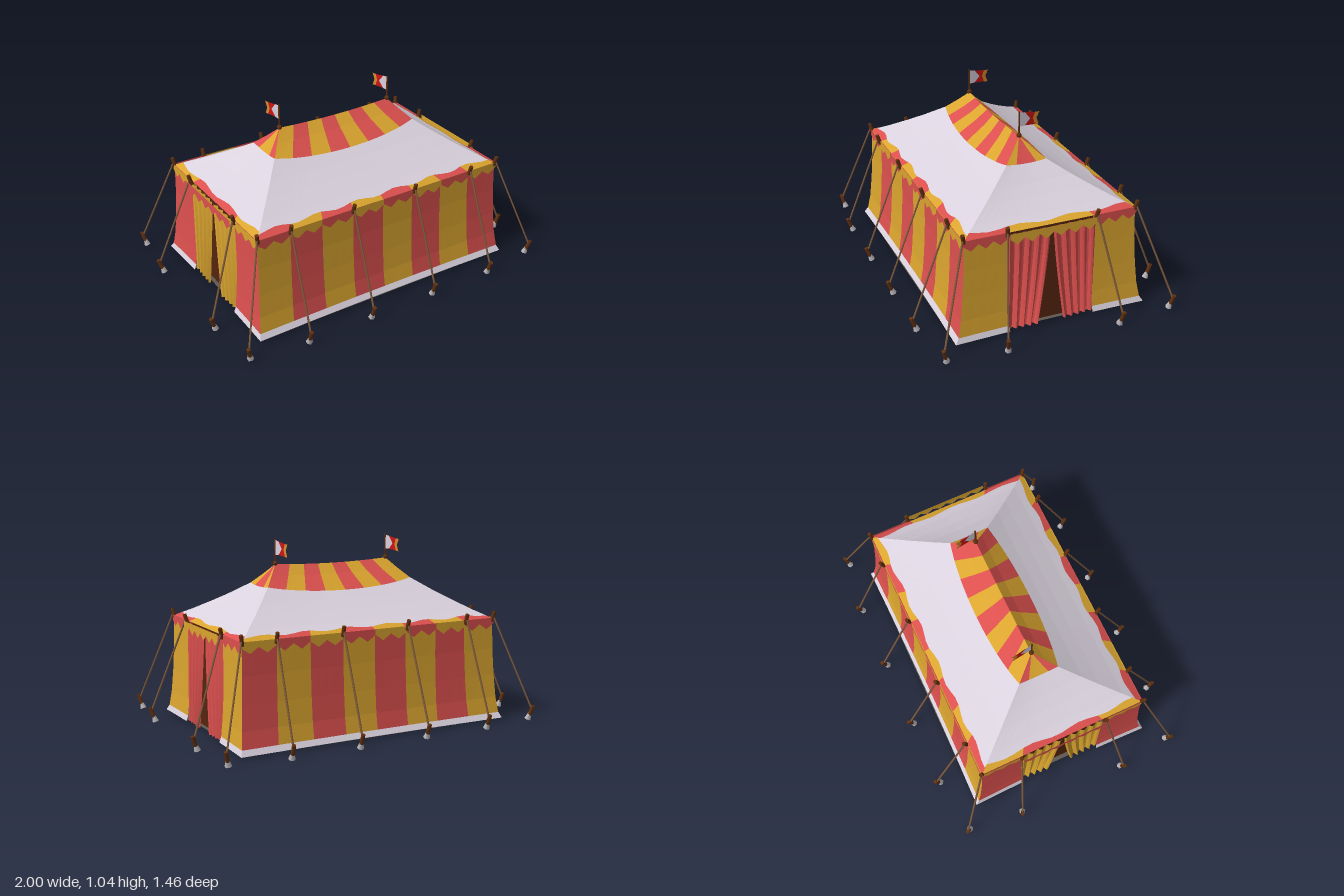
import * as THREE from 'three';

const mat = (name, color) =>
  Object.assign(new THREE.MeshStandardMaterial({ color, side: THREE.DoubleSide }), { name });
const red = mat('red canvas', 0xdc504e);
const yellow = mat('yellow canvas', 0xdba52f);
const white = mat('white canvas', 0xd9d1dd);
const wood = mat('dark wood', 0x61300f);
const ropeTan = mat('rope', 0x7f5a3c);
const metal = mat('peg metal', 0xb9b5ba);
const floorGrey = mat('ground sheet', 0x5f5850);
const dark = mat('doorway shade', 0x55250f);
const flagRed = mat('flag red', 0xcc1414);
const flagOrange = mat('flag orange', 0xd98a2b);
const other = (m) => (m === red ? yellow : red);

const HX = 0.775, HZ = 0.485, EAVE = 0.572, RIDGE = 0.355;

function add(parent, name, geo, material) {
  const mesh = new THREE.Mesh(geo, material);
  mesh.name = name;
  parent.add(mesh);
  return mesh;
}

// Faceted sheet: fn(i, j) gives a point, i runs to the right and j downward
function sheet(cols, rows, fn) {
  const pos = [];
  const tri = (...pts) => pts.forEach(([i, j]) => pos.push(...fn(i, j)));
  for (let i = 0; i < cols; i++) for (let j = 0; j < rows; j++) {
    tri([i, j], [i, j + 1], [i + 1, j]);
    tri([i + 1, j], [i, j + 1], [i + 1, j + 1]);
  }
  const g = new THREE.BufferGeometry();
  g.setAttribute('position', new THREE.Float32BufferAttribute(pos, 3));
  g.computeVertexNormals();
  return g;
}

// Straight rod between two points
function rod(parent, name, a, b, r0, r1, material, sides = 8) {
  const d = b.clone().sub(a);
  const m = add(parent, name, new THREE.CylinderGeometry(r1, r0, d.length(), sides), material);
  m.position.copy(a).lerp(b, 0.5);
  m.quaternion.setFromUnitVectors(new THREE.Vector3(0, 1, 0), d.normalize());
}

// Piecewise linear lookup
function lookup(table, t) {
  for (let k = 1; k < table.length; k++) {
    const [t0, v0] = table[k - 1], [t1, v1] = table[k];
    if (t <= t1) return v0 + (v1 - v0) * (t - t0) / (t1 - t0);
  }
  return table[table.length - 1][1];
}
const roofY = [[0, 0.895], [0.055, 0.84], [0.11, 0.788], [0.16, 0.756], [0.22, 0.717],
  [0.3, 0.67], [0.4, 0.615], [0.455, 0.588], [HZ, EAVE]];
const flare = [[0, 0.065], [0.03, 0.045], [0.12, 0.028], [0.25, 0.015], [0.4, 0.005], [EAVE, 0]];

// One side of the tent facing +z, with its panel colours from left to right
function buildSide(name, colours, isEnd) {
  const side = new THREE.Group();
  side.name = name;
  const n = colours.length, cols = 4;
  const half = isEnd ? HZ : HX, depth = isEnd ? HX : HZ;
  const roofX = (s) => RIDGE + (HX - RIDGE) * s / HZ;

  // s is the distance from the ridge line
  const roofPoint = (u, s) => {
    const k = s / HZ;
    const sag = 0.012 * (1 - u * u) * (isEnd ? Math.sin(Math.PI * k) : 1 - k);
    return [u * (isEnd ? s : roofX(s)), lookup(roofY, s) - sag, isEnd ? roofX(s) : s];
  };
  const wallPoint = (u, y) => {
    const o = lookup(flare, y);
    const spread = Math.sign(u) * Math.max(0, Math.abs(u) - 0.5) * 2;
    return [u * half + spread * o * (isEnd ? 1 : 0.6), y,
      depth + o * (isEnd ? 0.6 : 1) - 0.01 * (1 - u * u) * (1 - y / EAVE)];
  };
  const capEdge = (u) => 0.115 + (isEnd ? 0.0 : 0.045 * (1 - u * u));
  const bandEdge = (u) => 0.45 + 0.009 * Math.cos(u * Math.PI * n * 0.75 + 0.6);

  colours.forEach((colour, p) => {
    const u = (i) => -1 + 2 * (p + i / cols) / n;
    const roofStrip = (label, rows, material) => add(side, label, sheet(cols, rows(0).length - 1,
      (i, j) => roofPoint(u(i), rows(u(i))[j])), material);
    roofStrip('roofCap', (t) => [0, 0.055, capEdge(t)], colour);
    roofStrip('roofCanvas', (t) => [capEdge(t), 0.22, 0.3, 0.4, bandEdge(t)], white);
    roofStrip('roofEaveBand', (t) => [bandEdge(t), HZ], other(colour));

    // Zigzag valance
    const teeth = isEnd ? 3 : 2, w = (2 * (half + 0.006)) / n, x0 = -half - 0.006 + p * w;
    const shape = new THREE.Shape();
    shape.moveTo(x0, EAVE + 0.004);
    shape.lineTo(x0, 0.545);
    for (let k = 0; k < teeth; k++) {
      shape.lineTo(x0 + w * (k + 0.5) / teeth, 0.512);
      shape.lineTo(x0 + w * (k + 1) / teeth, 0.545);
    }
    shape.lineTo(x0 + w, EAVE + 0.004);
    add(side, 'valance', new THREE.ShapeGeometry(shape), other(colour))
      .position.z = depth + (isEnd ? 0.03 : 0.006) * (isEnd && (p === 0 || p === 3) ? 0.2 : 1);

    // Wall panel with a pale skirt; the two middle end panels are the doorway
    if (isEnd && (p === 1 || p === 2)) return;
    const ys = [EAVE, 0.4, 0.25, 0.12, 0.03];
    add(side, 'wallPanel', sheet(cols, 4, (i, j) => wallPoint(u(i), ys[j])), colour);
    add(side, 'wallSkirt', sheet(cols, 1, (i, j) => wallPoint(u(i), j ? 0 : 0.03)), white);
  });

  if (isEnd) {
    // Dark opening behind two draped curtains
    add(side, 'doorway', new THREE.PlaneGeometry(0.5, 0.56), dark).position.set(0, 0.28, 0.752);
    for (const s of [-1, 1]) {
      const nc = 22, nr = 7;
      add(side, 'doorCurtain', sheet(nc, nr, (i, j) => {
        const h = 1 - j / nr, t = s < 0 ? i / nc : 1 - i / nc;
        const inner = 0.008 + 0.065 * Math.pow(1 - h, 1.3);
        const fold = Math.sin(t * Math.PI * 9) * 0.013 * (0.5 + 0.5 * (1 - h));
        return [s * (0.25 + (inner - 0.25) * t), 0.56 * h, 0.778 + fold + 0.01 * (1 - h) * t];
      }), colours[1]);
    }
  }
  return side;
}

// Eave post, guy rope and ground peg
function buildGuy(x, z, px, pz) {
  const g = new THREE.Group();
  g.name = 'guyLine';
  const out = new THREE.Vector3(px - x, 0, pz - z).normalize();
  const at = (cx, y, cz, d) => new THREE.Vector3(cx, y, cz).addScaledVector(out, d);
  rod(g, 'eavePost', at(x, 0.555, z, 0), at(x, 0.612, z, 0.018), 0.011, 0.011, wood);
  rod(g, 'rope', at(x, 0.585, z, 0.012), at(px, 0.06, pz, -0.008), 0.0055, 0.0055, ropeTan, 6);
  rod(g, 'pegHead', at(px, 0.025, pz, -0.02), at(px, 0.08, pz, 0), 0.011, 0.011, wood);
  rod(g, 'pegFoot', at(px, 0, pz, -0.03), at(px, 0.035, pz, -0.018), 0.019, 0.009, metal, 6);
  return g;
}

// Mast with a swallow-tailed pennant in three bands
function buildFlag(x) {
  const g = new THREE.Group();
  g.name = 'flag';
  rod(g, 'mast', new THREE.Vector3(0, 0.88, 0), new THREE.Vector3(0, 1.032, 0), 0.005, 0.005, wood);
  add(g, 'mastBall', new THREE.SphereGeometry(0.014, 10, 8), wood).position.y = 0.899;
  const band = (name, pts, material) => {
    const m = add(g, name, new THREE.ShapeGeometry(
      new THREE.Shape(pts.map((q) => new THREE.Vector2(...q)))), material);
    m.rotation.y = Math.PI / 2 + 0.12;
  };
  band('flagField', [[0, 0.946], [0.035, 0.948], [0.068, 0.982], [0.035, 1.023], [0, 1.028]], white);
  band('flagBand', [[0.035, 0.948], [0.098, 0.943], [0.085, 0.98], [0.098, 1.013], [0.035, 1.023],
    [0.068, 0.982]], flagRed);
  band('flagTail', [[0.098, 0.943], [0.122, 0.94], [0.108, 0.978], [0.125, 1.012], [0.098, 1.013],
    [0.085, 0.98]], flagOrange);
  g.position.x = x;
  return g;
}

export function createModel() {
  const tent = new THREE.Group();
  tent.name = 'tent';

  const stripes = Array.from({ length: 8 }, (_, i) => (i % 2 ? red : yellow));
  const sides = [
    buildSide('frontSide', stripes, false),
    buildSide('rightEnd', [yellow, red, red, yellow], true),
    buildSide('backSide', [...stripes].reverse(), false),
    buildSide('leftEnd', [red, yellow, yellow, red], true),
  ];
  sides.forEach((s, k) => {
    s.rotation.y = k * Math.PI / 2;
    tent.add(s);
  });

  // Ground sheet, set back at the doorways
  const outline = [[-0.812, -0.545], [0.812, -0.545], [0.805, -0.25], [0.775, -0.25], [0.775, 0.25],
    [0.805, 0.25], [0.812, 0.545], [-0.812, 0.545], [-0.805, 0.25], [-0.775, 0.25], [-0.775, -0.25],
    [-0.805, -0.25]];
  const floor = add(tent, 'groundSheet', new THREE.ShapeGeometry(
    new THREE.Shape(outline.map((q) => new THREE.Vector2(...q)))), floorGrey);
  floor.rotation.x = -Math.PI / 2;
  floor.position.y = 0.001;

  for (const sx of [-1, 1]) {
    for (const sz of [-1, 1]) {
      const guys = [[0.2, 0.49, 0.205, 0.718], [0.585, 0.49, 0.602, 0.718],
        [0.77, 0.482, 0.945, 0.665], [0.78, 0.25, 0.988, 0.333]];
      for (const [x, z, px, pz] of guys) tent.add(buildGuy(sx * x, sz * z, sx * px, sz * pz));
    }
    tent.add(buildFlag(sx * RIDGE));
  }
  return tent;
}
